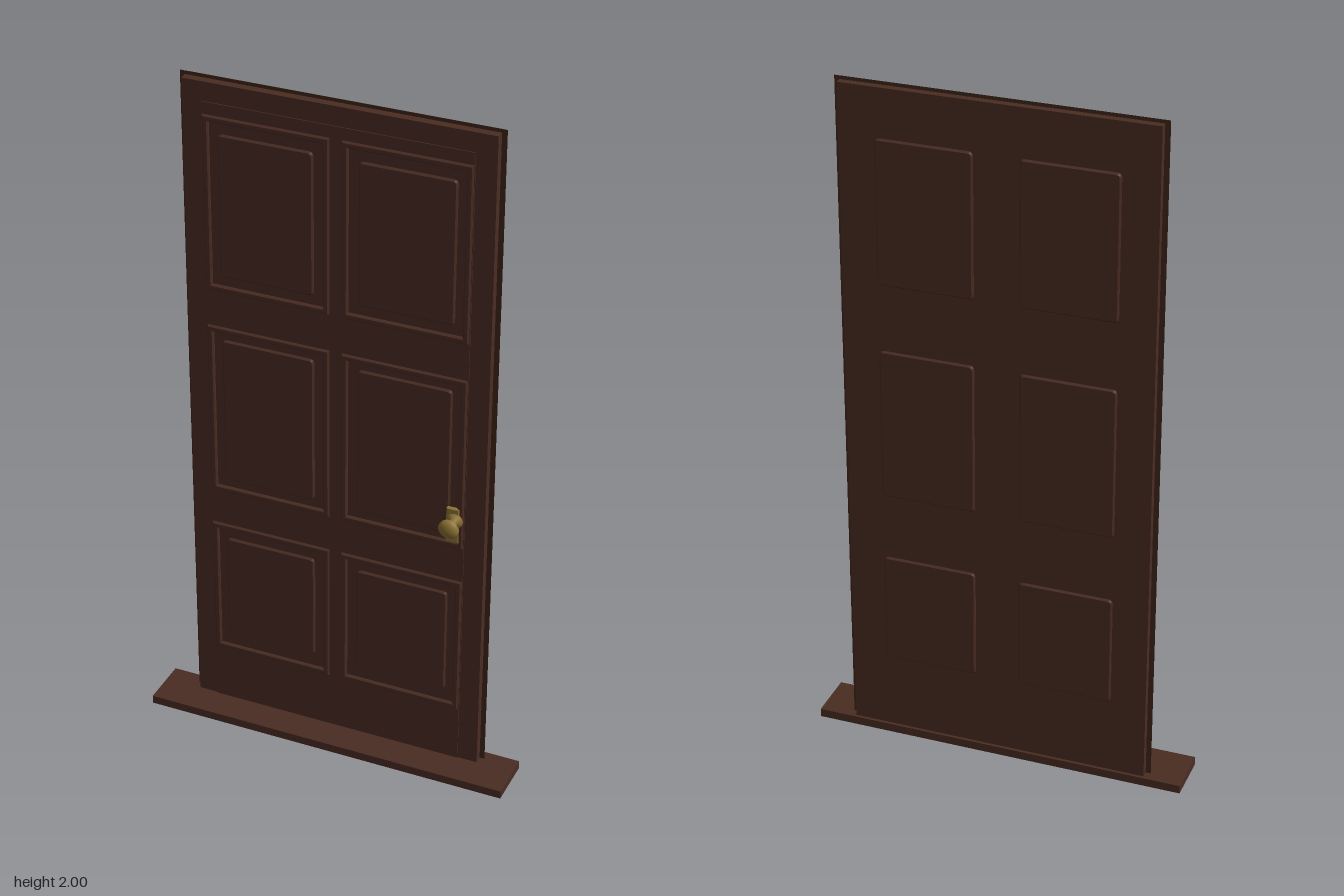
import * as THREE from 'three';

const wood = new THREE.MeshStandardMaterial({ color: 0x4a2c22 });
wood.name = 'dark wood';
const brass = new THREE.MeshStandardMaterial({ color: 0x8f7436 });
brass.name = 'aged brass';
const edging = new THREE.MeshStandardMaterial({ color: 0x402519, side: THREE.DoubleSide });
edging.name = 'edge strip wood';

// Rectangle outline with optional rounded corners
function rect(Type, x0, x1, y0, y1, r = 0) {
  const s = new Type();
  if (!r) {
    return s.moveTo(x0, y0).lineTo(x1, y0).lineTo(x1, y1).lineTo(x0, y1).closePath();
  }
  s.moveTo(x0 + r, y0).lineTo(x1 - r, y0).quadraticCurveTo(x1, y0, x1, y0 + r);
  s.lineTo(x1, y1 - r).quadraticCurveTo(x1, y1, x1 - r, y1);
  s.lineTo(x0 + r, y1).quadraticCurveTo(x0, y1, x0, y1 - r);
  return s.lineTo(x0, y0 + r).quadraticCurveTo(x0, y0, x0 + r, y0);
}

function add(parent, name, geometry, material, x = 0, y = 0, z = 0) {
  const mesh = new THREE.Mesh(geometry, material);
  mesh.name = name;
  mesh.position.set(x, y, z);
  parent.add(mesh);
  return mesh;
}

// Extrude between two z planes, with a chamfer taken off inside the outline
function slab(shape, z0, z1, bevel = 0) {
  const g = new THREE.ExtrudeGeometry(shape, {
    depth: z1 - z0 - 2 * bevel, bevelEnabled: bevel > 0, bevelThickness: bevel,
    bevelSize: bevel, bevelOffset: -bevel, bevelSegments: 1, curveSegments: 4,
  });
  return g.translate(0, 0, z0 + bevel);
}

export function createModel() {
  const door = new THREE.Group();
  door.name = 'panelledDoor';

  // Sill, main leaf and the thin strip showing round its edge
  add(door, 'threshold', new THREE.BoxGeometry(1.1, 0.025, 0.15), wood, 0, 0.0125, 0);
  add(door, 'doorLeaf', slab(rect(THREE.Shape, -0.44, 0.44, 0.025, 1.99), -0.066, -0.021), wood);
  add(door, 'edgeStrip', new THREE.PlaneGeometry(0.91, 1.975), edging, 0, 1.0125, -0.045);

  // Panel rows: opening bottom and top, raised field bottom and top
  const rows = [
    [0.2, 0.635, 0.255, 0.588],
    [0.745, 1.275, 0.785, 1.235],
    [1.385, 1.9, 1.43, 1.85],
  ];

  // Rails and centre stile stand slightly proud around the six openings
  const rails = rect(THREE.Shape, -0.382, 0.382, 0.025, 1.935);
  const panels = new THREE.Group();
  panels.name = 'panels';
  door.add(panels);

  for (const side of [-1, 1]) {
    const span = (a, b) => (side < 0 ? [-b, -a] : [a, b]);
    const [ox0, ox1] = span(0.018, 0.38);
    const [mx0, mx1] = span(0.036, 0.362);
    const [px0, px1] = span(0.064, 0.338);
    for (const [oy0, oy1, py0, py1] of rows) {
      rails.holes.push(rect(THREE.Path, ox0, ox1, oy0, oy1));

      // Chamfered moulding frame
      const frame = rect(THREE.Shape, ox0, ox1, oy0, oy1);
      frame.holes.push(rect(THREE.Path, mx0, mx1, oy0 + 0.018, oy1 - 0.018));
      add(panels, 'panelMoulding', slab(frame, -0.024, -0.011, 0.004), wood);

      // Raised field passes through the leaf and shows on both faces
      const field = rect(THREE.Shape, px0, px1, py0, py1, 0.014);
      add(panels, 'raisedPanel', slab(field, -0.072, -0.015, 0.005), wood);
    }
  }
  add(door, 'railsAndStile', slab(rails, -0.023, -0.018), wood);

  // Brass handle set
  const handle = new THREE.Group();
  handle.name = 'doorHandle';
  handle.position.set(0.356, 0.835, 0);
  door.add(handle);
  add(handle, 'backPlate', slab(rect(THREE.Shape, -0.024, 0.013, -0.07, 0.038), -0.02, -0.007, 0.002), brass);

  // Turned knob: rose, neck and domed head
  const profile = [
    [0, -0.012], [0.024, -0.012], [0.024, -0.007], [0.013, -0.001], [0.01, 0.008],
    [0.011, 0.02], [0.019, 0.025], [0.028, 0.031], [0.029, 0.037], [0.024, 0.044],
    [0.014, 0.049], [0, 0.05],
  ].map(([r, z]) => new THREE.Vector2(r, z));
  add(handle, 'knob', new THREE.LatheGeometry(profile, 24).rotateX(Math.PI / 2), brass);

  return door;
}
